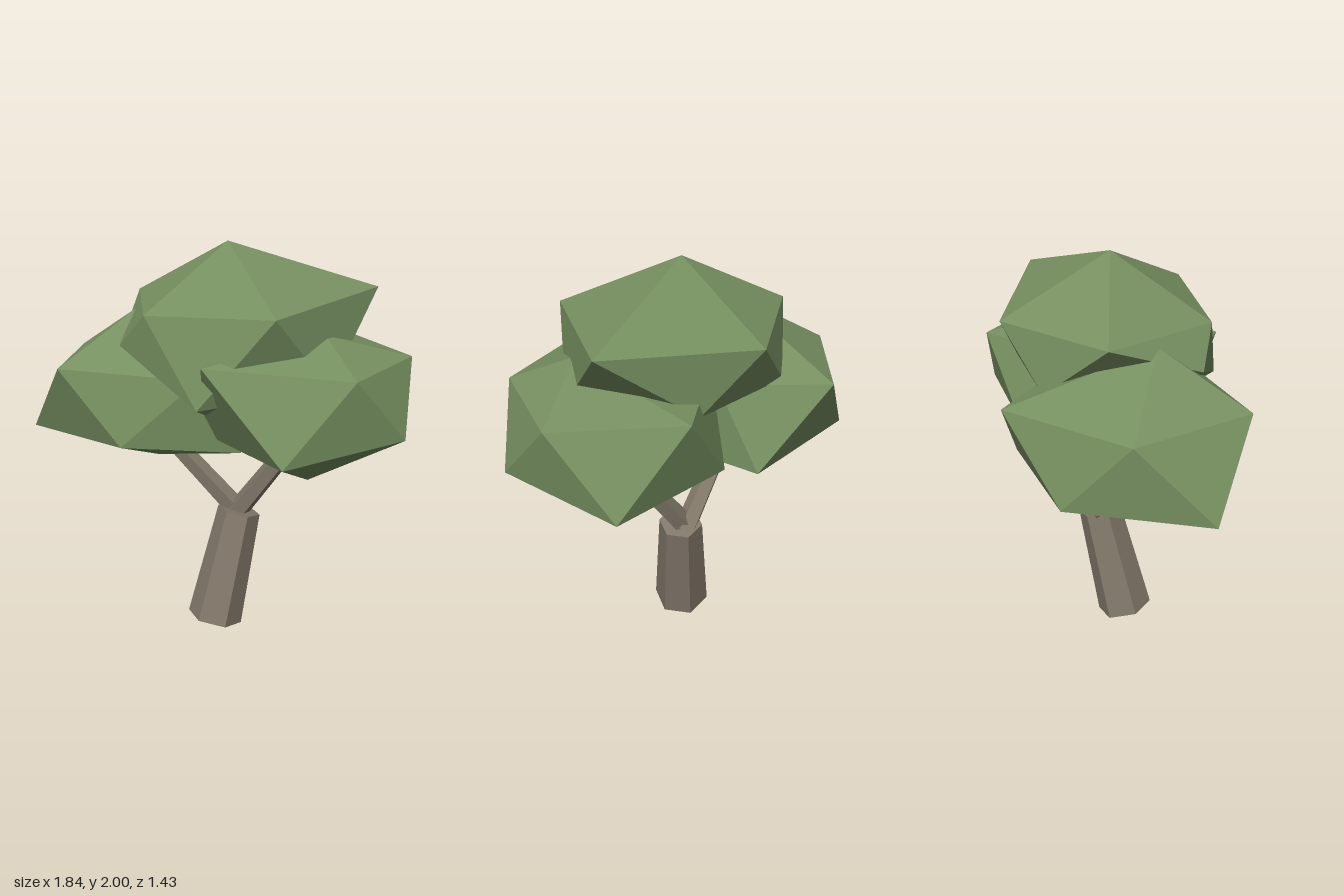
import * as THREE from 'three';

const leafGreen = new THREE.MeshStandardMaterial({ color: 0x768f60 });
const barkBrown = new THREE.MeshStandardMaterial({ color: 0x83796b });
leafGreen.name = 'leafGreen';
barkBrown.name = 'barkBrown';

// Faceted 20-sided clump: a top point, two staggered rings of five, a bottom point
function clump(name, top, upper, lower, bottom) {
  const pos = [];
  for (let i = 0; i < 5; i++) {
    const j = (i + 1) % 5;
    pos.push(...top, ...upper[j], ...upper[i]);
    pos.push(...upper[i], ...upper[j], ...lower[i]);
    pos.push(...upper[j], ...lower[j], ...lower[i]);
    pos.push(...bottom, ...lower[i], ...lower[j]);
  }
  const geo = new THREE.BufferGeometry();
  geo.setAttribute('position', new THREE.Float32BufferAttribute(pos, 3));
  geo.computeVertexNormals();
  const mesh = new THREE.Mesh(geo, leafGreen);
  mesh.name = name;
  return mesh;
}

// Tapered, faceted piece of wood between two points
function limb(name, from, to, r0, r1, sides, turn) {
  const a = new THREE.Vector3(...from);
  const dir = new THREE.Vector3(...to).sub(a);
  const geo = new THREE.CylinderGeometry(r1, r0, dir.length(), sides, 1, false, turn).toNonIndexed();
  geo.computeVertexNormals();
  const mesh = new THREE.Mesh(geo, barkBrown);
  mesh.position.copy(a).addScaledVector(dir, 0.5);
  mesh.quaternion.setFromUnitVectors(new THREE.Vector3(0, 1, 0), dir.normalize());
  mesh.name = name;
  return mesh;
}

export function createModel() {
  const tree = new THREE.Group();
  tree.name = 'tree';

  // Leaning trunk and its fork
  tree.add(
    limb('trunk', [-0.013, 0.032, 0.02], [0.115, 0.615, -0.05], 0.142, 0.11, 6, Math.PI / 9),
    limb('leftBranch', [0.09, 0.58, -0.07], [0.34, 0.98, 0.07], 0.058, 0.048, 5, 0.3),
    limb('rightBranch', [0.13, 0.58, -0.08], [-0.19, 0.94, -0.12], 0.058, 0.048, 5, 0.3),
  );

  // Crown of three overlapping clumps
  tree.add(
    clump('topFoliage', [0.05, 2, -0.02],
      [[0.77, 1.78, -0.02], [0.23, 1.74, 0.53], [-0.34, 1.71, 0.27], [-0.38, 1.72, -0.33], [0.21, 1.72, -0.52]],
      [[0.5, 1.38, 0.33], [-0.11, 1.33, 0.5], [-0.46, 1.54, 0.13], [-0.08, 1.45, -0.48], [0.42, 1.44, -0.32]],
      [0.03, 1.12, 0]),
    clump('leftFoliage', [0.48, 1.615, 0.28],
      [[0.915, 1.48, 0.145], [0.58, 1.48, 0.58], [-0.09, 1.53, 0.52], [0.1, 1.5, -0.2], [0.61, 1.51, -0.385]],
      [[0.84, 1.16, 0.435], [0.25, 1.13, 0.72], [-0.08, 1.13, 0.2], [0.31, 1.14, -0.39], [0.91, 1.13, -0.2]],
      [0.44, 0.855, 0.14]),
    clump('rightFoliage', [-0.38, 1.68, -0.07],
      [[0.13, 1.45, -0.25], [-0.1, 1.42, 0.33], [-0.75, 1.44, 0.17], [-0.68, 1.42, -0.42], [-0.12, 1.46, -0.715]],
      [[0.1, 1.06, 0.3], [-0.46, 1.1, 0.32], [-0.92, 1.06, -0.15], [-0.46, 1.09, -0.64], [0.17, 1.07, -0.49]],
      [-0.3, 0.885, -0.17]),
  );
  return tree;
}
